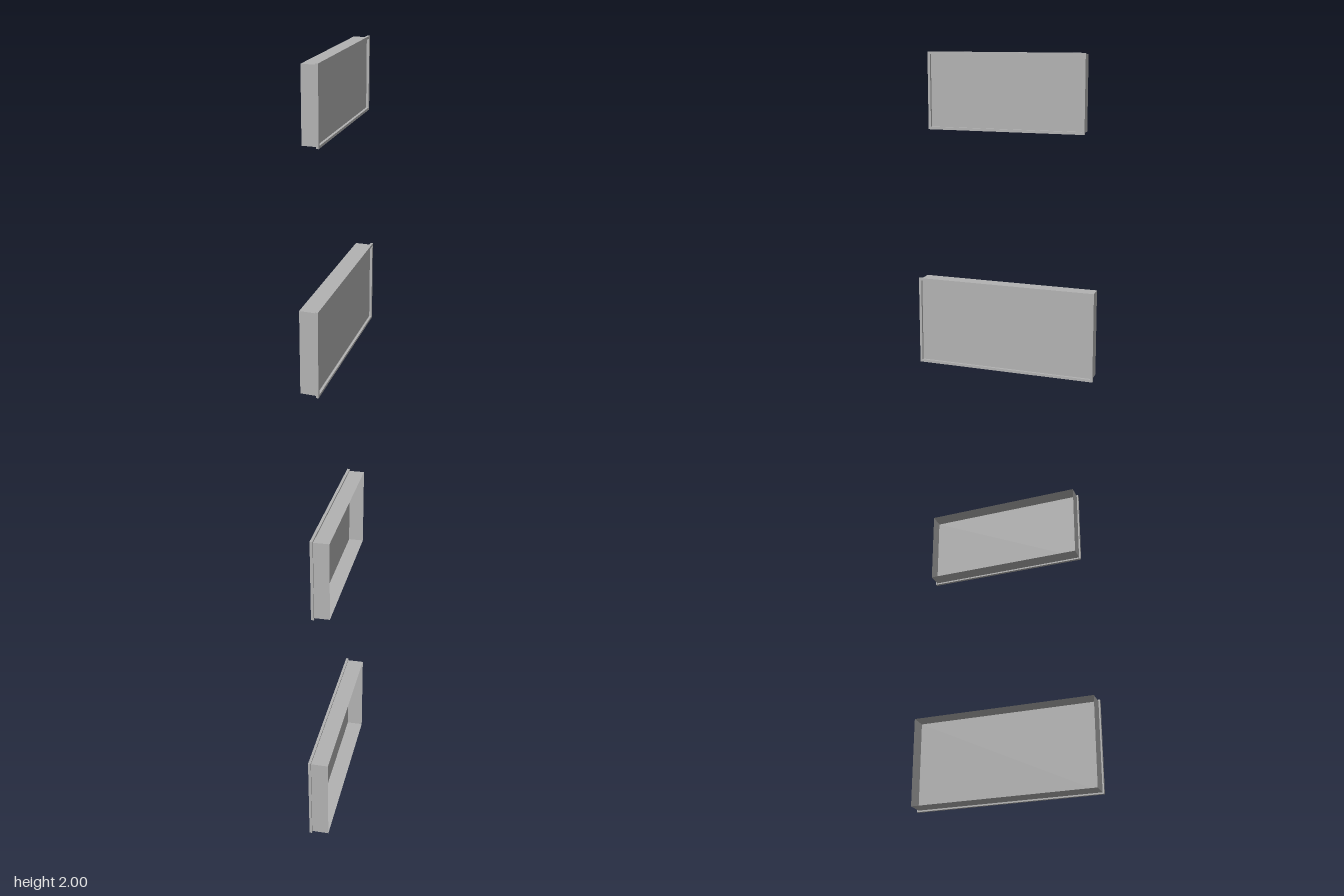
import * as THREE from 'three';

const grey = new THREE.MeshStandardMaterial({ color: 0xb2b2b2, side: THREE.DoubleSide });
grey.name = 'plain grey';

const BACK = -0.06;  // open rear plane shared by both trays
const RIM = 0.016;   // square section of the rim
const LAP = 0.009;   // how far the rim overhangs the walls

function add(parent, name, geometry) {
  const mesh = new THREE.Mesh(geometry, grey);
  mesh.name = name;
  parent.add(mesh);
  return mesh;
}

// Rectangle centred on the origin, as a closed path
function rectangle(path, w, h) {
  path.moveTo(-w / 2, -h / 2);
  path.lineTo(w / 2, -h / 2);
  path.lineTo(w / 2, h / 2);
  path.lineTo(-w / 2, h / 2);
  path.closePath();
  return path;
}

// Shallow tray facing +x, open at the back, with a raised rim round its face
function createTray(name, bottom, top, width, front) {
  const tray = new THREE.Group();
  tray.name = name;
  tray.position.y = (bottom + top) / 2;
  const height = top - bottom;
  const w = width - 2 * LAP, h = height - 2 * LAP;
  const depth = front - BACK, midX = (front + BACK) / 2;

  // Sheet walls
  for (const side of [-1, 1]) {
    const end = add(tray, side > 0 ? 'frontEndWall' : 'rearEndWall', new THREE.PlaneGeometry(depth, h));
    end.position.set(midX, 0, side * w / 2);
    if (side < 0) end.rotation.y = Math.PI;

    const flat = add(tray, side > 0 ? 'topWall' : 'bottomWall', new THREE.PlaneGeometry(depth, w));
    flat.position.set(midX, side * h / 2, 0);
    flat.rotation.x = -side * Math.PI / 2;
  }

  // Face panel, set back behind the rim
  const panel = add(tray, 'facePanel', new THREE.PlaneGeometry(w, h));
  panel.position.x = front;
  panel.rotation.y = Math.PI / 2;

  // Rim with a rectangular opening
  const outline = rectangle(new THREE.Shape(), width, height);
  outline.holes.push(rectangle(new THREE.Path(), width - 2 * RIM, height - 2 * RIM));
  const rim = add(tray, 'rim', new THREE.ExtrudeGeometry(outline, { depth: RIM, bevelEnabled: false }));
  rim.position.x = front;
  rim.rotation.y = Math.PI / 2;
  return tray;
}

export function createModel() {
  const model = new THREE.Group();
  model.name = 'trayPair';
  model.add(createTray('lowerTray', 0, 0.565, 1.153, 0.043));
  model.add(createTray('upperTray', 1.524, 2, 0.995, 0.028));
  return model;
}
